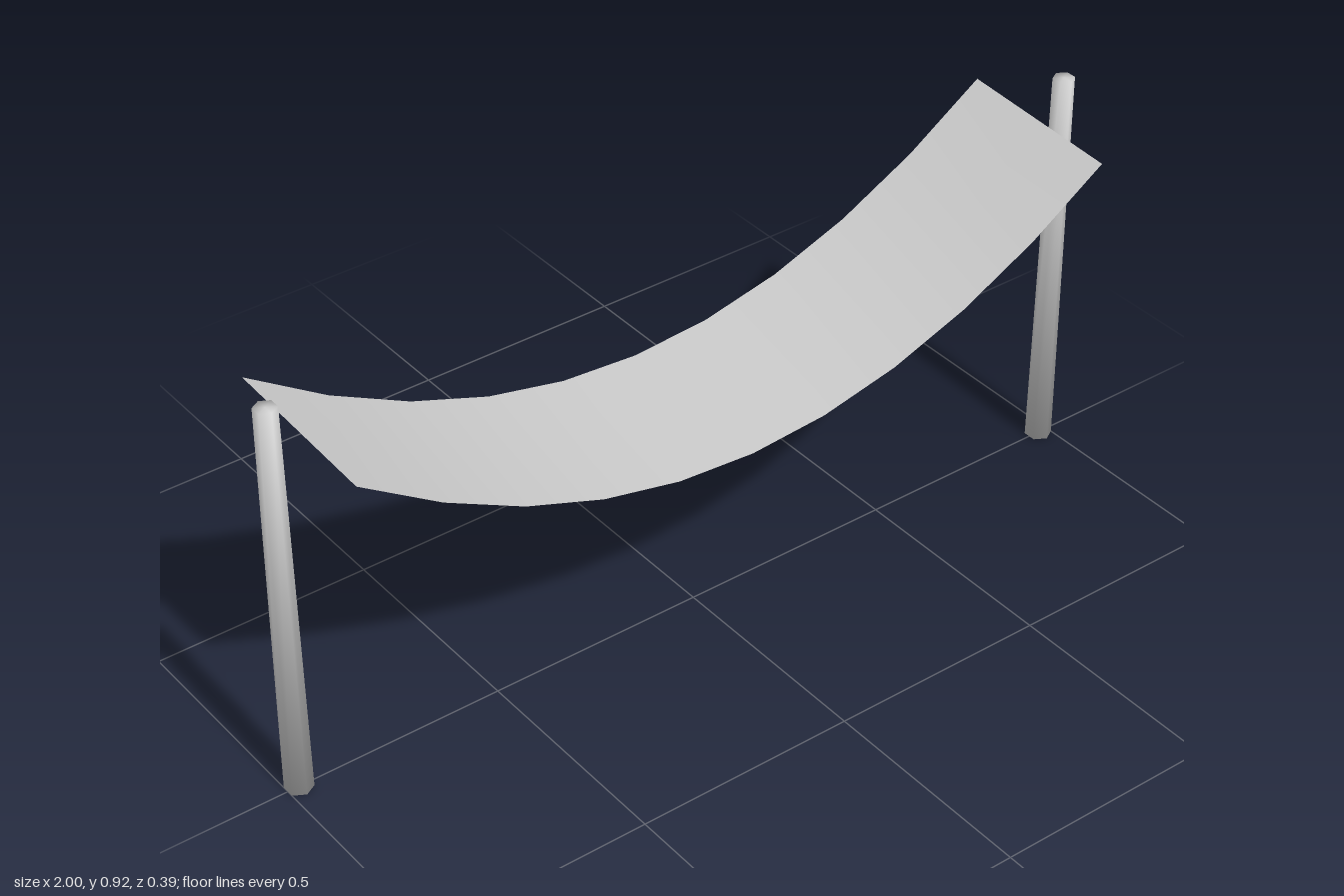
import * as THREE from 'three';
import { mergeVertices } from 'three/addons/utils/BufferGeometryUtils.js';

const POST_X = 0.974, POST_HEIGHT = 0.915;

// Tapered six-sided post, shaded smoothly over its rims.
function postGeometry() {
  let geo = new THREE.CylinderGeometry(0.024, 0.03, POST_HEIGHT, 6);
  geo.deleteAttribute('normal');
  geo.deleteAttribute('uv');
  geo = mergeVertices(geo);
  const pos = geo.attributes.position;
  const normals = new Float32Array(pos.count * 3);
  const n = new THREE.Vector3();
  for (let i = 0; i < pos.count; i++) {
    n.set(pos.getX(i), 0, pos.getZ(i));
    if (n.length() > 0.001) n.normalize();
    n.y = 0.75 * Math.sign(pos.getY(i));
    n.normalize().toArray(normals, i * 3);
  }
  geo.setAttribute('normal', new THREE.BufferAttribute(normals, 3));
  return geo.translate(0, POST_HEIGHT / 2, 0);
}

// Cloth sheet sagging in a parabola and tilted slightly to the front.
function clothGeometry() {
  const geo = new THREE.PlaneGeometry(1.82, 0.39, 10, 1).rotateX(-Math.PI / 2);
  const pos = geo.attributes.position;
  for (let i = 0; i < pos.count; i++) {
    const t = pos.getX(i) / 0.91;
    pos.setY(i, 0.501 + 0.333 * t * t - 0.057 * pos.getZ(i));
  }
  geo.computeVertexNormals();
  return geo;
}

export function createModel() {
  const model = new THREE.Group();
  model.name = 'hammock';
  const grey = new THREE.MeshStandardMaterial({ color: 0xcccccc });
  grey.name = 'light grey';
  grey.side = THREE.DoubleSide;

  const cloth = new THREE.Mesh(clothGeometry(), grey);
  cloth.name = 'cloth';
  model.add(cloth);

  const geo = postGeometry();
  for (const [name, side] of [['leftPost', 1], ['rightPost', -1]]) {
    const post = new THREE.Mesh(geo, grey);
    post.name = name;
    post.position.x = side * POST_X;
    model.add(post);
  }
  return model;
}
